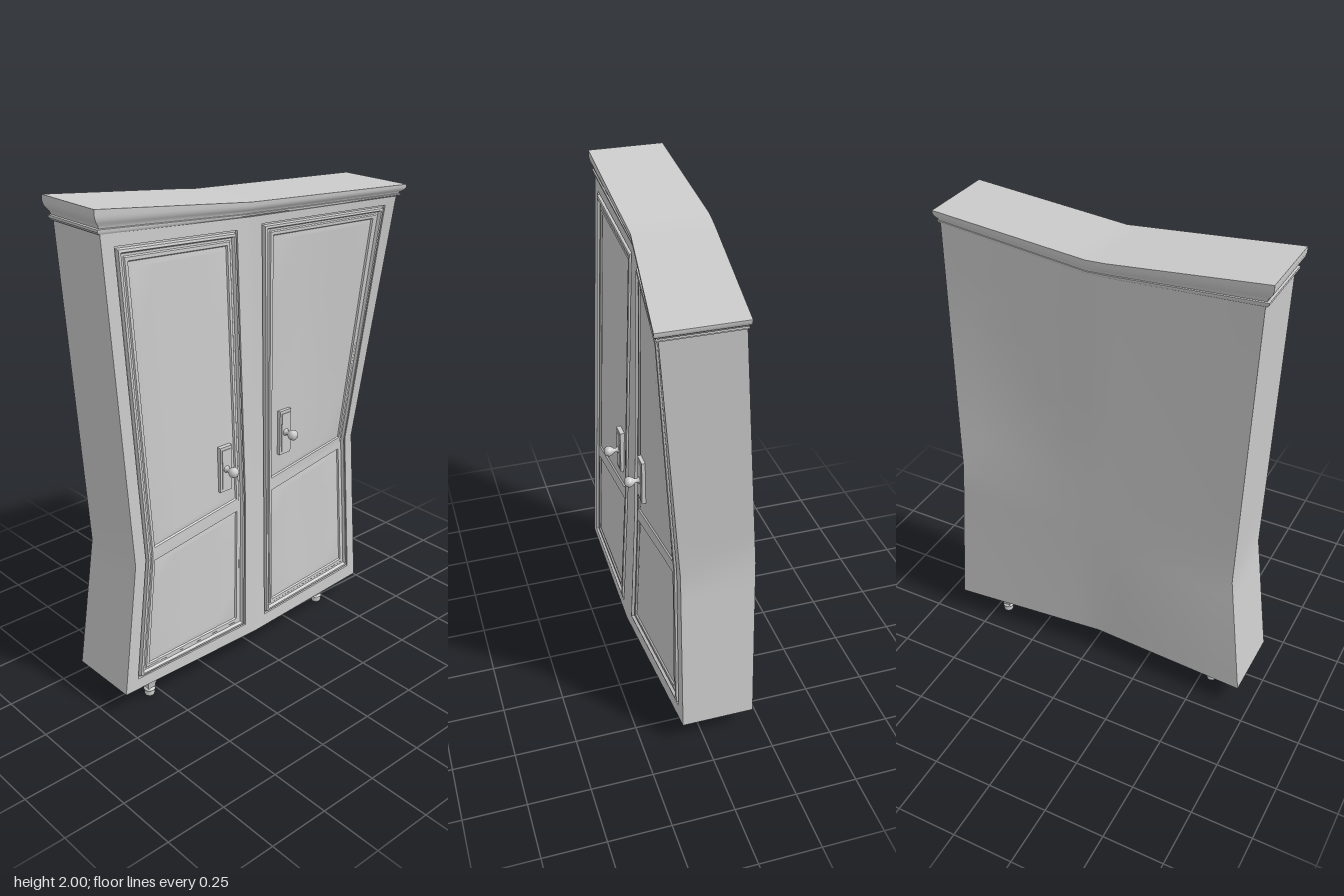
import * as THREE from 'three';
import { toCreasedNormals } from 'three/addons/utils/BufferGeometryUtils.js';

// Control points [x, y, frontZ, backZ]: rows bottom, fold, top; columns right side, middle, left side
const CTRL = [
  [[-0.70, 0.10, 0.12, -0.18], [-0.035, 0.11, 0.14, -0.155], [0.63, 0.10, 0.09, -0.205]],
  [[-0.63, 0.65, 0.12, -0.16], [-0.02, 0.74, 0.115, -0.18], [0.57, 0.82, 0.09, -0.205]],
  [[-0.68, 1.92, 0.065, -0.21], [-0.03, 1.875, 0.08, -0.208], [0.65, 1.87, 0.20, -0.095]],
];
const lerp = THREE.MathUtils.lerp;

// Crooked cabinet space: u in -1..1 across, v in 0..2 upwards with the fold at 1
function warp(u, v) {
  const c = u < 0 ? 0 : 1, r = v < 1 ? 0 : 1, s = u < 0 ? u + 1 : u, t = v - r;
  return [0, 1, 2, 3].map((k) =>
    lerp(lerp(CTRL[r][c][k], CTRL[r][c + 1][k], s), lerp(CTRL[r + 1][c][k], CTRL[r + 1][c + 1][k], s), t));
}
const front = (u, v, h = 0) => { const p = warp(u, v); return [p[0], p[1], p[2] + h]; };
const back = (u, v) => { const p = warp(u, v); return [p[0], p[1], p[3]]; };

const quad = (out, a, b, c, d) => out.push(...a, ...b, ...c, ...a, ...c, ...d);

// Grid of quads over a surface f(s, t), with s and t running 0..1
function patch(out, f, ns = 4, nt = 4) {
  for (let i = 0; i < ns; i++) for (let j = 0; j < nt; j++) {
    const s = i / ns, s2 = (i + 1) / ns, t = j / nt, t2 = (j + 1) / nt;
    quad(out, f(s, t), f(s2, t), f(s2, t2), f(s, t2));
  }
}

// Front-facing sheet over grid lines us, vs, leaving out cells inside the holes
function sheet(out, us, vs, h, holes = []) {
  for (let i = 0; i + 1 < us.length; i++) for (let j = 0; j + 1 < vs.length; j++) {
    const cu = (us[i] + us[i + 1]) / 2, cv = (vs[j] + vs[j + 1]) / 2;
    if (holes.some((o) => cu > o[0] && cu < o[1] && cv > o[2] && cv < o[3])) continue;
    patch(out, (s, t) => front(lerp(us[i], us[i + 1], s), lerp(vs[j], vs[j + 1], t), h));
  }
}

// Rectangle [u0, u1, v0, v1] shrunk by a real distance
function inset([u0, u1, v0, v1], d) {
  const dv = (v) => d / (v < 1 ? 0.62 : 1.15);
  return [u0 + d / 0.66, u1 - d / 0.66, v0 + dv(v0), v1 - dv(v1)];
}

// Moulding that follows a rectangle, through steps [inset, height]
function moulding(out, rect, steps) {
  const n = 4;
  const ring = ([d, h]) => {
    const [u0, u1, v0, v1] = inset(rect, d);
    const vs = v0 < 1 && v1 > 1 ? [v0, 1, v1] : [v0, v1], side = [];
    for (let k = 0; k + 1 < vs.length; k++) for (let i = 0; i < n; i++) side.push(lerp(vs[k], vs[k + 1], i / n));
    const pts = [[u0, v0]];
    side.forEach((v) => pts.push([u1, v]));
    pts.push([u1, v1], [u0, v1]);
    side.slice().reverse().forEach((v) => pts.push([u0, v]));
    return pts.map(([u, v]) => front(u, v, h));
  };
  for (let k = 0; k + 1 < steps.length; k++) {
    const a = ring(steps[k]), b = ring(steps[k + 1]);
    for (let i = 0; i + 1 < a.length; i++) quad(out, a[i], a[i + 1], b[i + 1], b[i]);
  }
}

const material = new THREE.MeshStandardMaterial({ color: 0xcccccc });

function mesh(name, geometry) {
  const m = new THREE.Mesh(geometry, material);
  m.name = name;
  return m;
}

function build(name, out, crease = 0.4) {
  const g = new THREE.BufferGeometry();
  g.setAttribute('position', new THREE.Float32BufferAttribute(out, 3));
  return mesh(name, toCreasedNormals(g, crease));
}

const DOORS = { rightDoor: [-0.92, -0.085, 0.085, 1.955], leftDoor: [0.085, 0.93, 0.085, 1.965] };

function cabinetBody() {
  const out = [];
  const [a, b] = [DOORS.rightDoor, DOORS.leftDoor];
  sheet(out, [-1, a[0], a[1], 0, b[0], b[1], 1], [0, 0.085, 1, a[3], b[3], 2], 0, [a, b]);
  for (const c of [0, 1]) {
    const u = (s) => c - 1 + s;
    for (const r of [0, 1]) patch(out, (s, t) => back(c - s, r + t), 6, 6);
    // underside and top
    patch(out, (s, t) => { const p = warp(u(s), 0); return [p[0], p[1], lerp(p[3], p[2], t)]; }, 4, 1);
    patch(out, (s, t) => { const p = warp(u(s), 2); return [p[0], p[1], lerp(p[2], p[3], t)]; }, 4, 1);
  }
  for (const r of [0, 1]) for (const e of [-1, 1]) {
    patch(out, (s, t) => {
      const p = warp(e, r + t);
      return [p[0], p[1], e > 0 ? lerp(p[2], p[3], s) : lerp(p[3], p[2], s)];
    }, 1, 6);
  }
  return build('cabinetBody', out);
}

function door(name, rect) {
  const out = [];
  // rebate and stepped frame moulding
  moulding(out, rect, [[0, 0], [0, -0.01], [0.008, -0.01], [0.011, 0.005], [0.02, 0.007],
    [0.026, -0.004], [0.034, -0.004], [0.038, 0]]);
  // leaf with two sunk panels
  const leaf = inset(rect, 0.038), p = inset(rect, 0.05);
  const panels = [[p[0], p[1], p[2], 0.96], [p[0], p[1], 1.025, p[3]]];
  sheet(out, [leaf[0], p[0], p[1], leaf[1]], [leaf[2], p[2], 0.96, 1, 1.025, p[3], leaf[3]], 0, panels);
  for (const q of panels) {
    moulding(out, q, [[0, 0], [0.004, -0.006], [0.022, -0.003]]);
    const [u0, u1, v0, v1] = inset(q, 0.022);
    sheet(out, [u0, u1], [v0, v1], -0.003);
  }
  return build(name, out, 0.3);
}

function cornice() {
  const out = [];
  // profile as [height fraction, overhang]
  const profile = [[0, 0.006], [0.1, 0.014], [0.2, 0.014], [0.22, 0.006], [0.34, 0.009],
    [0.45, 0.018], [0.58, 0.026], [0.75, 0.03], [1, 0.03]];
  const us = [-1, -0.5, -0.12, 0, 0.12, 0.5, 1];
  const loop = ([t, o]) => {
    const row = us.map((u) => {
      const p = warp(u * (1 + o * 1.5), 2);
      const base = u < 0 ? lerp(1.868, 1.91, -u) : lerp(1.868, 1.865, u);
      const top = u < 0 ? lerp(1.925, 2.0, -u) : lerp(1.925, 1.91, u);
      return { x: p[0], y: lerp(base, top, t), f: p[2] + o * 0.6, b: p[3] - o * (u < 0 ? 0.55 : 0.3) };
    });
    return [...row.map((p) => [p.x, p.y, p.f]), ...row.reverse().map((p) => [p.x, p.y, p.b])];
  };
  const loops = profile.map(loop), n = us.length * 2;
  for (let k = 0; k + 1 < loops.length; k++) for (let i = 0; i < n; i++) {
    const j = (i + 1) % n;
    quad(out, loops[k][i], loops[k][j], loops[k + 1][j], loops[k + 1][i]);
  }
  // top and bottom caps
  const lo = loops[0], hi = loops[loops.length - 1];
  for (let i = 0; i + 1 < us.length; i++) {
    quad(out, hi[i], hi[i + 1], hi[n - 2 - i], hi[n - 1 - i]);
    quad(out, lo[n - 1 - i], lo[n - 2 - i], lo[i + 1], lo[i]);
  }
  return build('cornice', out, 0.6);
}

const lathe = (pts, sides) => new THREE.LatheGeometry(pts.map(([r, y]) => new THREE.Vector2(r, y)), sides);

// Lock plate with a turned knob
function handle(name, u, v) {
  const g = new THREE.Group();
  g.name = name;
  const at = front(u, v);
  const plate = mesh('lockPlate', new THREE.BoxGeometry(0.06, 0.19, 0.024));
  const rim = mesh('lockPlateCentre', new THREE.BoxGeometry(0.042, 0.165, 0.03));
  const knob = mesh('knob', lathe([[0.017, 0], [0.016, 0.014], [0.009, 0.02], [0.009, 0.032], [0.017, 0.042],
    [0.022, 0.054], [0.019, 0.066], [0.011, 0.073], [0, 0.075]], 20));
  knob.rotation.x = Math.PI / 2;
  g.add(plate, rim, knob);
  g.position.set(...at);
  return g;
}

// Foot: flared square bracket on a turned ball
function foot(name, x, z) {
  const g = new THREE.Group();
  g.name = name;
  const flare = lathe([[0, 0.04], [0.022, 0.04], [0.026, 0.06], [0.034, 0.08], [0.048, 0.108]], 4);
  const bracket = mesh('footBracket', toCreasedNormals(flare, 0.5));
  bracket.rotation.y = Math.PI / 4;
  g.add(bracket, mesh('footBall', lathe([[0, 0], [0.012, 0.001], [0.02, 0.008], [0.022, 0.018], [0.017, 0.027],
    [0.024, 0.032], [0.024, 0.038], [0.016, 0.044], [0, 0.044]], 16)));
  g.position.set(x, 0, z);
  return g;
}

export function createModel() {
  const model = new THREE.Group();
  model.name = 'wardrobe';
  model.add(cabinetBody(), cornice());
  for (const [name, rect] of Object.entries(DOORS)) model.add(door(name, rect));
  model.add(handle('rightHandle', -0.255, 1.165), handle('leftHandle', 0.265, 1.19));
  model.add(foot('frontRightFoot', -0.55, 0.07), foot('backRightFoot', -0.55, -0.09));
  model.add(foot('frontLeftFoot', 0.445, 0.03), foot('backLeftFoot', 0.445, -0.13));
  return model;
}
